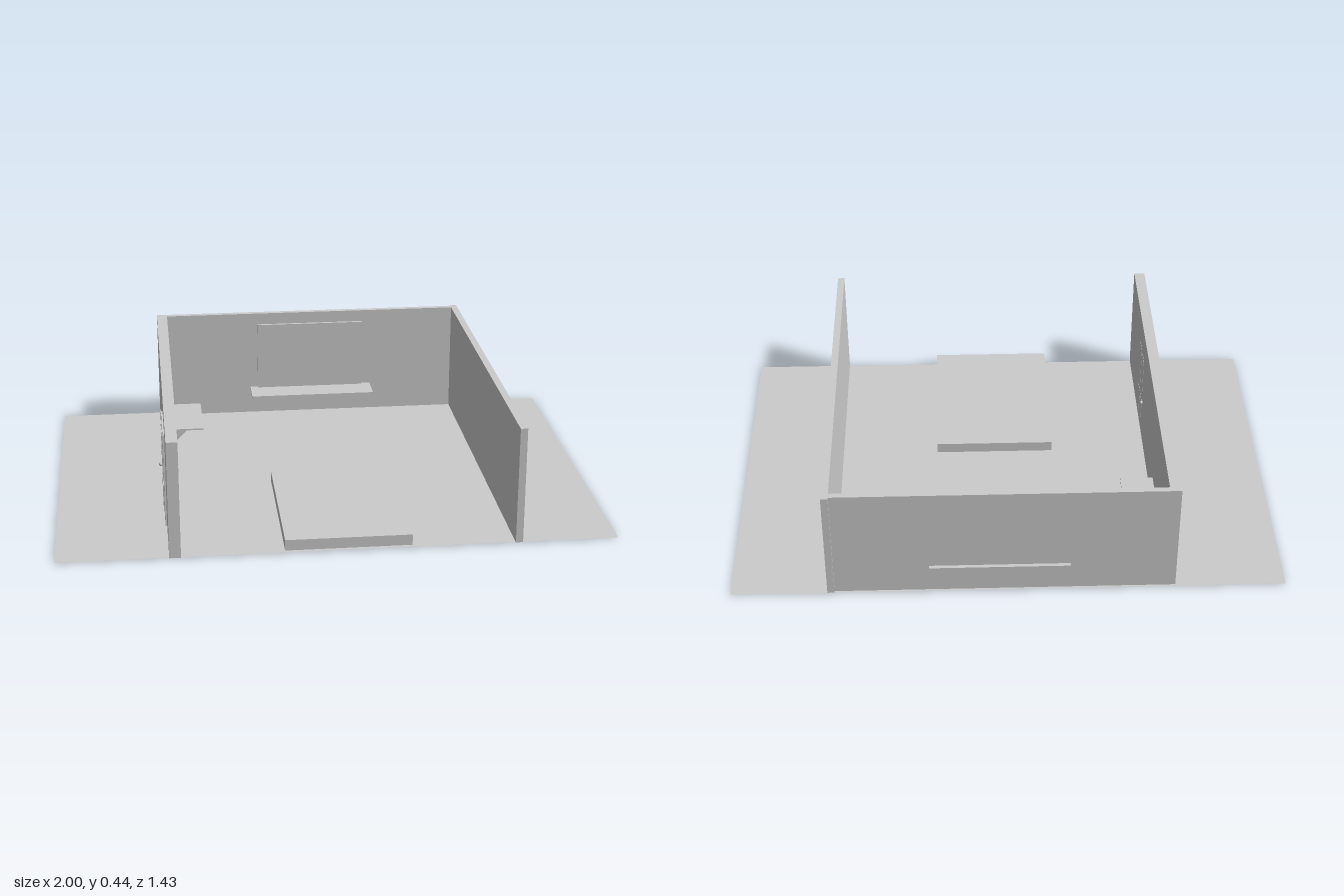
import * as THREE from 'three';

export function createModel() {
  const root = new THREE.Group();
  const mat = new THREE.MeshStandardMaterial({ color: 0xcccccc, flatShading: true });
  const smooth = new THREE.MeshStandardMaterial({ color: 0xcccccc });
  const sheet = new THREE.MeshStandardMaterial({ color: 0xcccccc, side: THREE.DoubleSide });

  const add = (name, geometry, material = mat, parent = root) => {
    const mesh = new THREE.Mesh(geometry, material);
    mesh.name = name;
    parent.add(mesh);
    return mesh;
  };
  // Box given by its minimum and maximum on each axis
  const box = (name, [x0, x1], [y0, y1], [z0, z1], parent = root) => {
    const mesh = add(name, new THREE.BoxGeometry(x1 - x0, y1 - y0, z1 - z0), mat, parent);
    mesh.position.set((x0 + x1) / 2, (y0 + y1) / 2, (z0 + z1) / 2);
    return mesh;
  };

  // Thin ground sheet
  const floor = add('floor', new THREE.PlaneGeometry(2, 1.415), sheet);
  floor.rotation.x = -Math.PI / 2;
  floor.position.set(0, 0.003, -0.002);

  // Three walls, open at the front
  const wallY = [0.003, 0.437];
  box('rightWall', [-0.601, -0.56], wallY, [-0.702, 0.71]);
  box('backWall', [-0.56, 0.627], wallY, [-0.702, -0.68]);
  box('leftWall', [0.627, 0.653], wallY, [-0.71, 0.71]);

  // Low platform at the open end
  box('platform', [-0.195, 0.257], [0.01, 0.05], [0.09, 0.705]);

  // Panel above a long shelf that passes through the back wall
  box('wallPanel', [-0.188, 0.248], [0.114, 0.39], [-0.681, -0.669]);
  box('backShelf', [-0.22, 0.285], [0.109, 0.115], [-0.716, -0.562]);

  // Small side shelf on triangular brackets
  box('sideShelf', [-0.602, -0.437], [0.109, 0.115], [-0.505, -0.225]);
  const triangle = new THREE.Shape([
    new THREE.Vector2(-0.56, 0.053),
    new THREE.Vector2(-0.504, 0.109),
    new THREE.Vector2(-0.56, 0.109),
  ]);
  for (const z of [-0.505, -0.233]) {
    const bracket = add('shelfBracket', new THREE.ExtrudeGeometry(triangle, { depth: 0.008, bevelEnabled: false }));
    bracket.position.z = z;
  }

  // Door on the outside of the side wall, with four panes on both faces
  const door = new THREE.Group();
  door.name = 'door';
  root.add(door);
  box('doorLeaf', [-0.607, -0.6], [0, 0.355], [0.19, 0.438], door);
  for (const z of [[0.232, 0.292], [0.312, 0.372]]) {
    for (const y of [[0.035, 0.135], [0.17, 0.33]]) {
      box('outerPane', [-0.61, -0.606], y, z, door);
      box('innerPane', [-0.561, -0.559], y, z, door);
    }
  }

  // Knobs joined by a spindle
  const spindle = add('doorSpindle', new THREE.CylinderGeometry(0.003, 0.003, 0.06, 10), smooth, door);
  spindle.rotation.z = Math.PI / 2;
  spindle.position.set(-0.585, 0.15, 0.207);
  for (const x of [-0.615, -0.555]) {
    add('doorKnob', new THREE.SphereGeometry(0.007, 14, 10), smooth, door).position.set(x, 0.15, 0.207);
  }

  return root;
}
